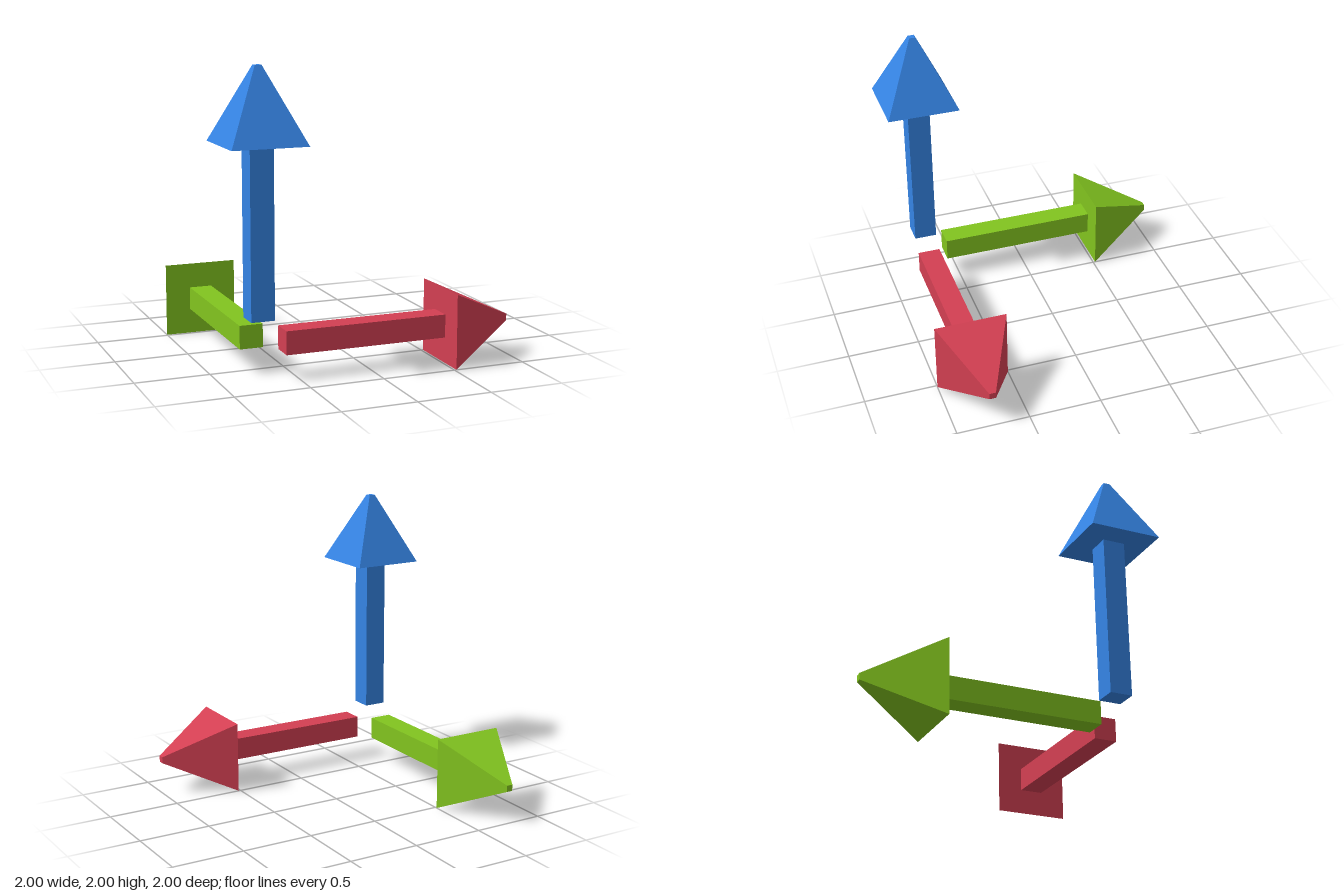
import * as THREE from 'three';

const SHAFT_START = 0.155, HEAD_START = 1.265, TIP = 1.75;

// Square frustum along +y, given half widths at both ends
function squareFrustum(topHalf, bottomHalf, from, to) {
  const geo = new THREE.CylinderGeometry(topHalf * Math.SQRT2, bottomHalf * Math.SQRT2, to - from, 4);
  geo.rotateY(Math.PI / 4);
  geo.translate(0, (from + to) / 2, 0);
  return geo;
}

// One arrow pointing up its own +y axis
function makeArrow(name, color) {
  const material = new THREE.MeshStandardMaterial({ color, flatShading: true });
  const arrow = new THREE.Group();
  arrow.name = name;
  const shaft = new THREE.Mesh(squareFrustum(0.078, 0.078, SHAFT_START, HEAD_START), material);
  shaft.name = name + 'Shaft';
  const head = new THREE.Mesh(squareFrustum(0.022, 0.25, HEAD_START, TIP), material);
  head.name = name + 'Head';
  arrow.add(shaft, head);
  return arrow;
}

export function createModel() {
  const model = new THREE.Group();
  model.name = 'axisArrows';

  const up = makeArrow('upArrow', 0x3584e4);
  const side = makeArrow('sideArrow', 0xd33f52);
  side.rotation.z = -Math.PI / 2; // points to +x
  const back = makeArrow('backArrow', 0x82c41f);
  back.rotation.x = -Math.PI / 2; // points to -z

  // All arrows share one corner as their origin
  for (const arrow of [up, side, back]) {
    arrow.position.set(-0.75, 0.25, 0.75);
    model.add(arrow);
  }
  return model;
}
